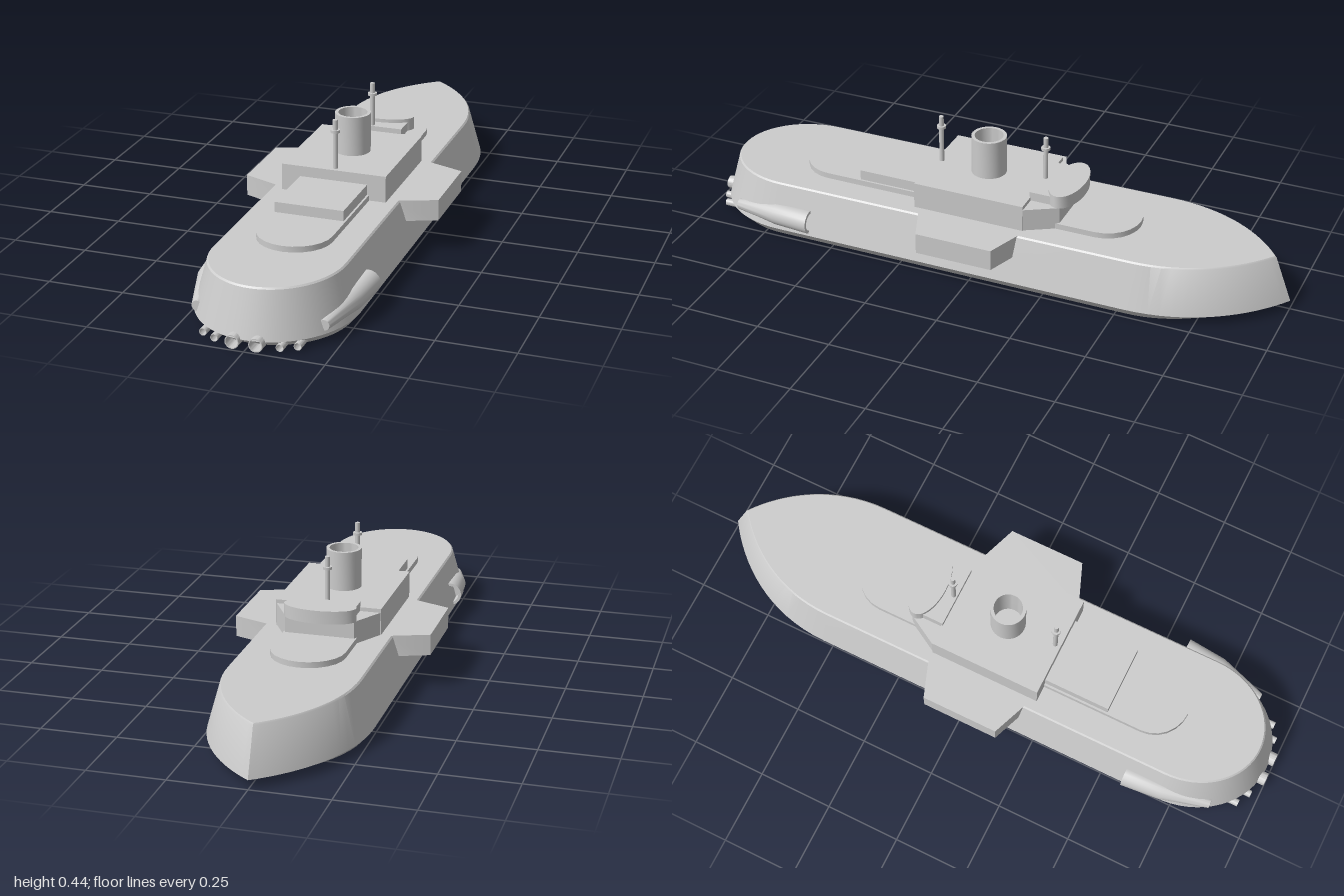
import * as THREE from 'three';
import { toCreasedNormals } from 'three/addons/utils/BufferGeometryUtils.js';

const material = new THREE.MeshStandardMaterial({ color: 0xcccccc });
const openMaterial = new THREE.MeshStandardMaterial({ color: 0xcccccc, side: THREE.DoubleSide });

function addMesh(parent, name, geometry, mat = material) {
  const mesh = new THREE.Mesh(geometry, mat);
  mesh.name = name;
  parent.add(mesh);
  return mesh;
}

// Skin a stack of equal-length closed loops and cap both ends
function loft(loops, crease = 0.5) {
  const n = loops[0].length;
  const points = loops.flat();
  const index = [];
  for (let k = 0; k < loops.length - 1; k++) {
    for (let i = 0; i < n; i++) {
      const a = k * n + i, b = k * n + (i + 1) % n;
      index.push(a, a + n, b, b, a + n, b + n);
    }
  }
  const centre = loop => loop.reduce((s, p) => s.add(p), new THREE.Vector3()).divideScalar(n);
  const first = points.length, last = first + 1, top = (loops.length - 1) * n;
  points.push(centre(loops[0]), centre(loops[loops.length - 1]));
  for (let i = 0; i < n; i++) {
    const j = (i + 1) % n;
    index.push(first, i, j, last, top + j, top + i);
  }
  const geometry = new THREE.BufferGeometry().setFromPoints(points);
  geometry.setIndex(index);
  return toCreasedNormals(geometry, crease);
}

// Hull waterline: pointed bow at -z, round stern at +z
function hullLoop(y, w, bow, stern) {
  const curve = new THREE.CubicBezierCurve(
    new THREE.Vector2(0, bow), new THREE.Vector2(w * 0.51, bow + (-0.53 - bow) * 0.19),
    new THREE.Vector2(w, bow + (-0.53 - bow) * 0.53), new THREE.Vector2(w, -0.53));
  const half = curve.getPoints(16);
  for (let i = 0; i <= 16; i++) {
    const a = i / 16 * Math.PI / 2;
    half.push(new THREE.Vector2(w * Math.cos(a), 0.7 + (stern - 0.7) * Math.sin(a)));
  }
  const other = half.slice(1, -1).reverse().map(p => new THREE.Vector2(-p.x, p.y));
  return [...half, ...other].map(p => new THREE.Vector3(p.x, y, p.y));
}

// Vertical prism from a plan outline of [x, z] points
function slab(plan, y0, y1) {
  const shape = new THREE.Shape(plan.map(([x, z]) => new THREE.Vector2(x, -z)));
  const geometry = new THREE.ExtrudeGeometry(shape, { depth: y1 - y0, bevelEnabled: false });
  geometry.rotateX(-Math.PI / 2).translate(0, y0, 0);
  return toCreasedNormals(geometry, 0.5);
}

const rect = (w, z0, z1) => [[-w, z0], [w, z0], [w, z1], [-w, z1]];

// Points of an elliptical arc in plan
function arc(z, rx, rz, from, to, n) {
  return Array.from({ length: n + 1 }, (_, i) => {
    const a = from + (to - from) * i / n;
    return [rx * Math.cos(a), z + rz * Math.sin(a)];
  });
}

// Open pipe with wall thickness, along y from 0 to h
function pipe(r, inner, h, segments = 32) {
  const profile = [[inner, 0], [r, 0], [r, h], [inner, h], [inner, 0]];
  return toCreasedNormals(new THREE.LatheGeometry(profile.map(p => new THREE.Vector2(...p)), segments), 0.6);
}

function createMast(z) {
  const mast = new THREE.Group();
  mast.name = 'mast';
  addMesh(mast, 'mastPole', new THREE.CylinderGeometry(0.008, 0.008, 0.175, 16)).position.y = 0.3475;
  addMesh(mast, 'mastCollar', new THREE.CylinderGeometry(0.015, 0.015, 0.009, 16)).position.y = 0.397;
  mast.position.z = z;
  return mast;
}

// Tapered side pod, recessed at its forward end
function podGeometry(side) {
  const sections = [
    [0.238, 0.075, 0.63, 0.026], [0.238, 0.075, 0.58, 0.03], [0.238, 0.075, 0.58, 0.04],
    [0.229, 0.073, 0.71, 0.037], [0.2, 0.057, 0.87, 0.017]];
  return loft(sections.map(([x, y, z, r]) => Array.from({ length: 20 }, (_, i) => {
    const a = i / 20 * Math.PI * 2;
    return new THREE.Vector3(side * x + r * Math.cos(a), y - r * Math.sin(a), z);
  })), 0.6);
}

export function createModel() {
  const ship = new THREE.Group();
  ship.name = 'ship';

  // Hull with chamfered keel and inward sloping sides
  addMesh(ship, 'hull', loft([
    hullLoop(0, 0.23, -0.9, 0.94), hullLoop(0.03, 0.255, -1, 0.985),
    hullLoop(0.178, 0.213, -0.945, 0.945), hullLoop(0.183, 0.208, -0.94, 0.94)]));

  // Raised deck and side sponsons
  addMesh(ship, 'raisedDeck', slab([
    ...arc(0.57, 0.12, 0.115, 0, Math.PI, 12),
    ...arc(-0.38, 0.12, 0.115, Math.PI, Math.PI * 2, 12)], 0.18, 0.202));
  addMesh(ship, 'sponsons', slab([
    [0.18, -0.163], [0.327, -0.11], [0.327, 0.15], [0.18, 0.207],
    [-0.18, 0.207], [-0.327, 0.15], [-0.327, -0.11], [-0.18, -0.163]], 0.113, 0.183));

  // Superstructure
  addMesh(ship, 'mainCabin', slab(rect(0.175, -0.155, 0.225), 0.18, 0.271));
  addMesh(ship, 'aftCabin', slab(rect(0.113, 0.22, 0.45), 0.18, 0.236));
  addMesh(ship, 'forwardCabin', slab(
    [[0.175, -0.15], [0.113, -0.258], [-0.113, -0.258], [-0.175, -0.15]], 0.18, 0.258));
  addMesh(ship, 'bridgeBase', slab(rect(0.105, -0.25, -0.15), 0.25, 0.288));
  addMesh(ship, 'bridge', slab(arc(-0.247, 0.118, 0.055, 0, Math.PI * 2, 40).slice(0, -1), 0.257, 0.3));

  // Funnel and masts
  const funnel = addMesh(ship, 'funnel', pipe(0.058, 0.047, 0.135), openMaterial);
  funnel.position.set(0, 0.267, 0.035);
  ship.add(createMast(0.205), createMast(-0.163));

  // Side pods and stern pipes
  for (const side of [-1, 1]) {
    addMesh(ship, 'sidePod', podGeometry(side));
    for (const [x, y, r, end] of [[0.037, 0.026, 0.022, 1], [0.102, 0.017, 0.012, 0.975], [0.148, 0.017, 0.012, 0.95]]) {
      const tube = addMesh(ship, 'sternPipe', pipe(r, r * 0.86, 0.12, 20), openMaterial);
      tube.rotation.x = Math.PI / 2;
      tube.position.set(side * x, y, end - 0.12);
    }
  }
  return ship;
}
